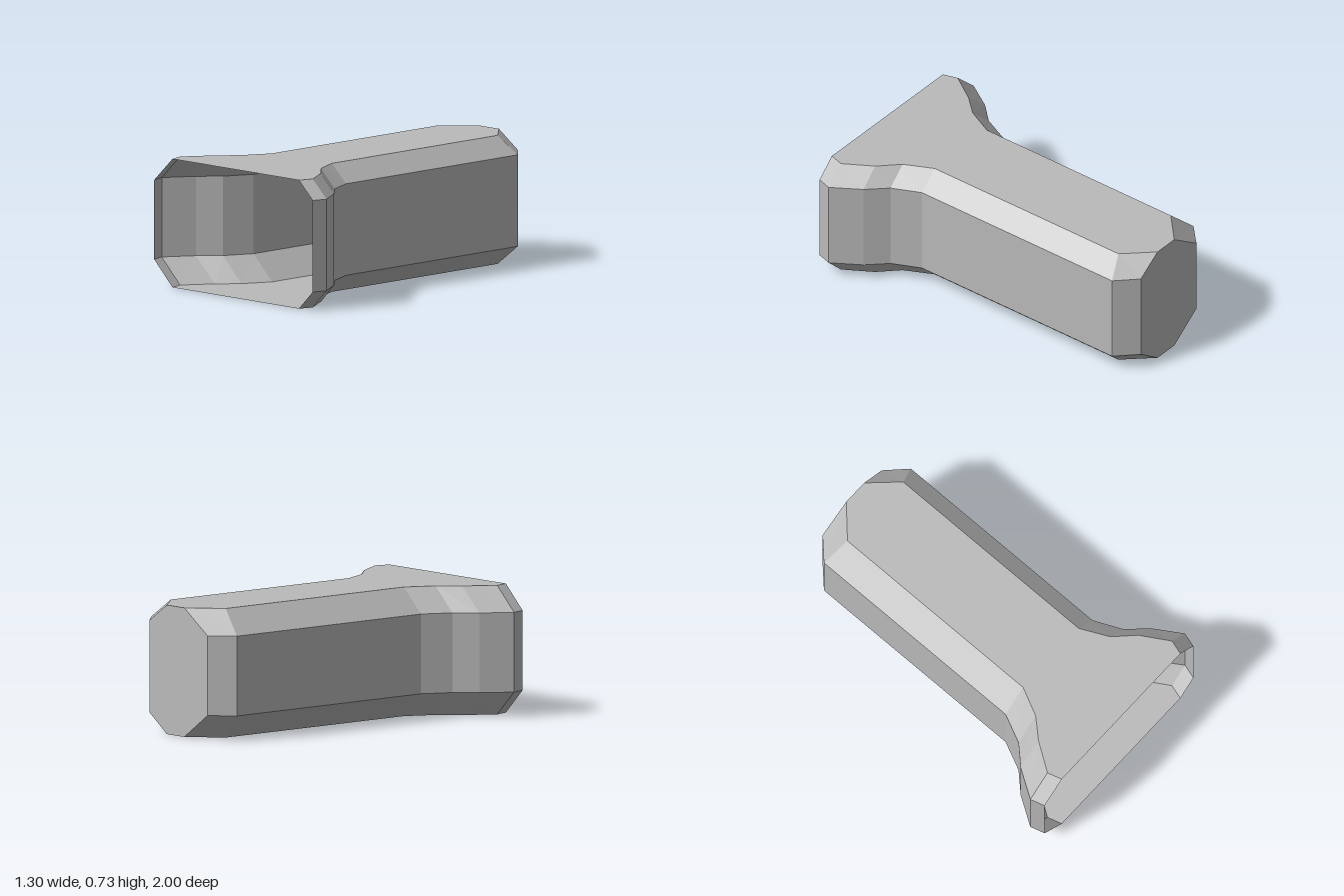
import * as THREE from 'three';

// Sections from back to front:
// z of walls, z of roof/floor edges, x of left-hand wall and roof edge, x of right-hand roof edge and wall
const SECTIONS = [
  [-1.0, -1.0, -0.25, -0.05, 0.10, 0.25],
  [-0.885, -0.84, -0.368, -0.22, 0.25, 0.365],
  [0.475, 0.475, -0.368, -0.22, 0.25, 0.365],
  [0.64, 0.64, -0.445, -0.30, 0.33, 0.44],
  [0.75, 0.75, -0.55, -0.40, 0.44, 0.545],
  [0.915, 0.915, -0.655, -0.51, 0.54, 0.65],
  [1.0, 1.0, -0.63, -0.485, 0.515, 0.625],
];
const HEIGHT = 0.73;

// Eight-sided outline, counter-clockwise from the front
function ring([zWall, zFlat, wallA, flatA, flatB, wallB]) {
  return [
    [flatA, 0, zFlat], [flatB, 0, zFlat],
    [wallB, 0.108, zWall], [wallB, 0.628, zWall],
    [flatB, HEIGHT, zFlat], [flatA, HEIGHT, zFlat],
    [wallA, 0.593, zWall], [wallA, 0.142, zWall],
  ];
}

function makeMesh(name, triangles, material) {
  const geometry = new THREE.BufferGeometry();
  geometry.setAttribute('position', new THREE.Float32BufferAttribute(triangles.flat(), 3));
  geometry.computeVertexNormals();
  const mesh = new THREE.Mesh(geometry, material);
  mesh.name = name;
  return mesh;
}

export function createModel() {
  const group = new THREE.Group();
  group.name = 'flaredTunnel';
  const grey = new THREE.MeshStandardMaterial({ color: 0xbababa, side: THREE.DoubleSide, flatShading: true });
  grey.name = 'grey';

  const rings = SECTIONS.map(ring);

  // Open shell: chamfered tunnel with a flared mouth
  const shell = [];
  for (let i = 0; i < rings.length - 1; i++) {
    const back = rings[i], front = rings[i + 1];
    for (let j = 0; j < 8; j++) {
      const k = (j + 1) % 8;
      shell.push(...back[j], ...back[k], ...front[k], ...back[j], ...front[k], ...front[j]);
    }
  }
  group.add(makeMesh('tunnelShell', shell, grey));

  // Flat wall closing the back end
  const end = rings[0], cap = [];
  for (let j = 1; j < 7; j++) cap.push(...end[0], ...end[j + 1], ...end[j]);
  group.add(makeMesh('backWall', cap, grey));

  return group;
}
